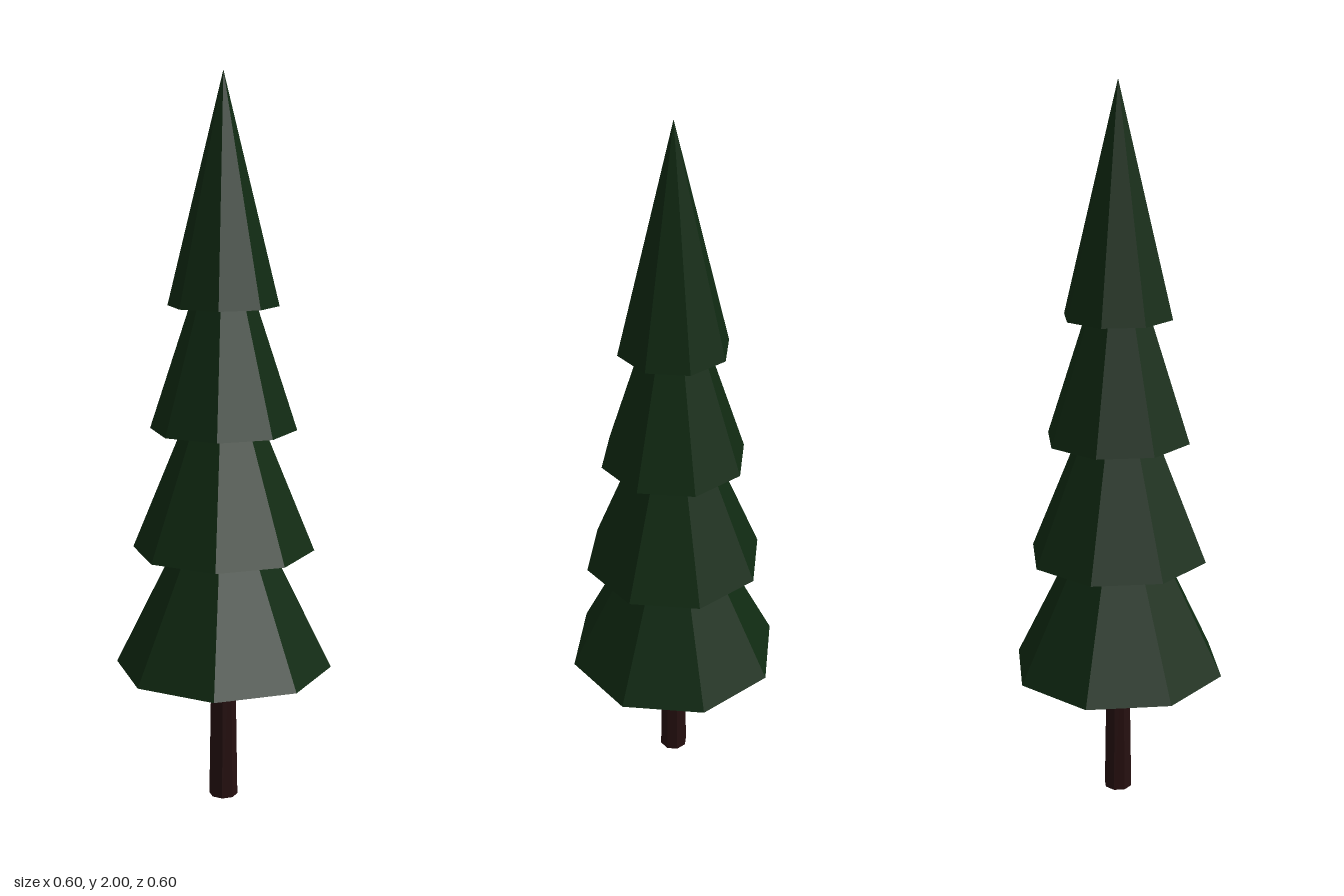
import * as THREE from 'three';

export function createModel() {
  const tree = new THREE.Group();
  tree.name = 'pineTree';

  const needles = new THREE.MeshStandardMaterial({ color: 0x102a12, flatShading: true });
  needles.name = 'needleGreen';
  const bark = new THREE.MeshStandardMaterial({ color: 0x261010, flatShading: true });
  bark.name = 'barkBrown';

  // Gently tapered trunk, its top hidden inside the lowest tier
  const trunkHeight = 0.5;
  const trunk = new THREE.Mesh(new THREE.CylinderGeometry(0.032, 0.04, trunkHeight, 8), bark);
  trunk.name = 'trunk';
  trunk.position.y = trunkHeight / 2;
  tree.add(trunk);

  // Four overlapping eight-sided cones, narrowing upward
  const tierHeight = 0.61;
  for (let i = 0; i < 4; i++) {
    const radius = 0.3 - i * 0.05;
    const tier = new THREE.Mesh(new THREE.ConeGeometry(radius, tierHeight, 8), needles);
    tier.name = `foliageTier${i + 1}`;
    tier.position.y = 0.387 + i * 0.3345 + tierHeight / 2;
    tree.add(tier);
  }

  return tree;
}
